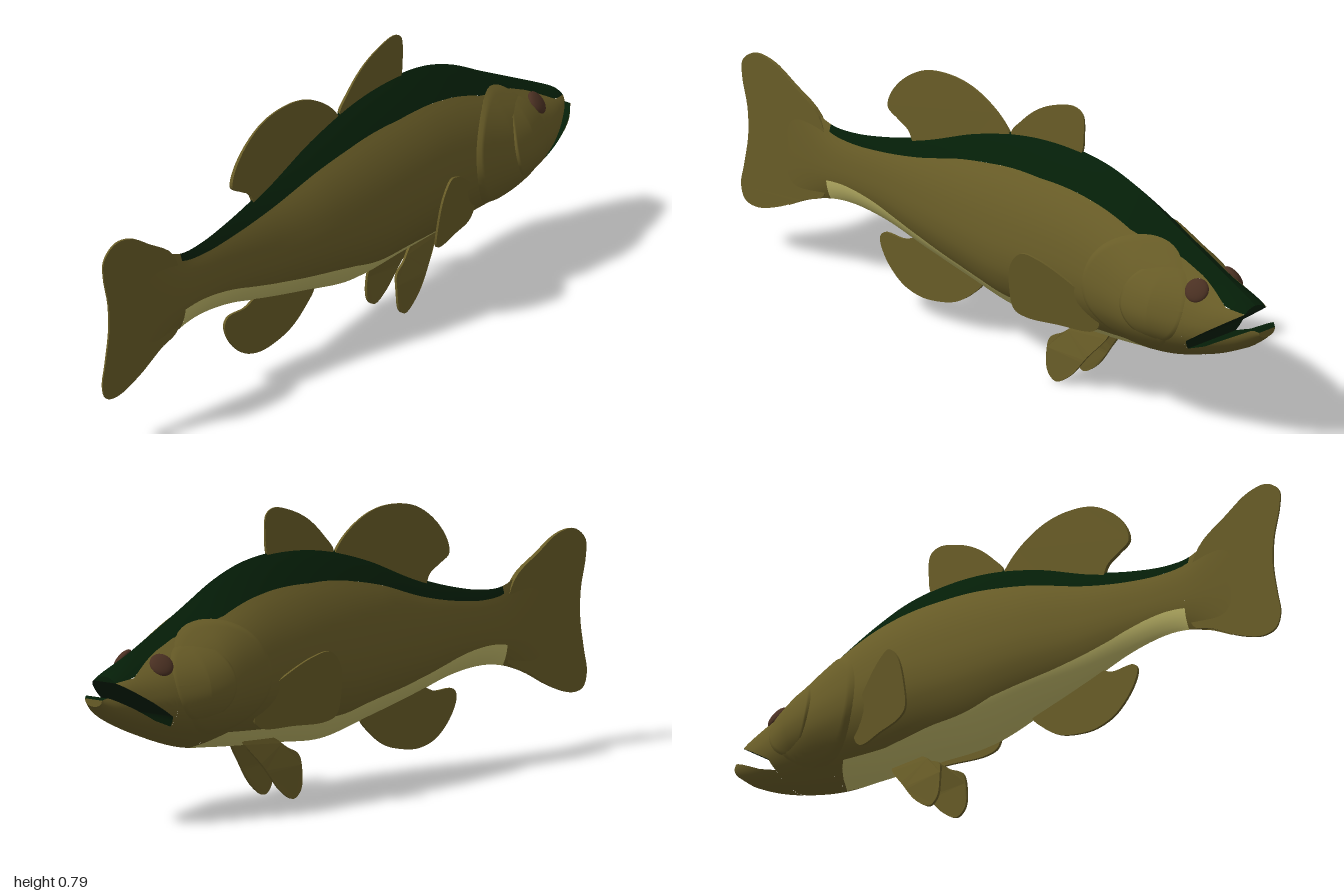
import * as THREE from 'three';

const mat = (name, color) => Object.assign(new THREE.MeshStandardMaterial({ color }), { name });
const olive = mat('olive skin', 0x685c27);
const green = mat('dark green back', 0x051e08);
const pale = mat('pale belly', 0xbeb668);
const brown = mat('brown eye', 0x4a3022);

// Smooth curve through rows of [position, value, value, ...]
function curve(rows) {
  const size = rows[0].length - 1;
  const c = new THREE.CubicInterpolant(rows.map(r => r[0]), rows.flatMap(r => r.slice(1)), size);
  return t => Array.from(c.evaluate(t));
}
// Straight segments through [x, y] pairs
function polyline(p) {
  return x => {
    let i = 0;
    while (i < p.length - 2 && x > p[i + 1][0]) i++;
    const k = THREE.MathUtils.clamp((x - p[i][0]) / (p[i + 1][0] - p[i][0]), 0, 1);
    return THREE.MathUtils.lerp(p[i][1], p[i + 1][1], k);
  };
}

// Body stations: x, top, bottom, half width
const body = curve([
  [-0.82, 0.535, 0.18, 0.006], [-0.74, 0.495, 0.22, 0.013], [-0.66, 0.463, 0.247, 0.02],
  [-0.58, 0.463, 0.258, 0.026], [-0.45, 0.488, 0.248, 0.038], [-0.3, 0.532, 0.213, 0.062],
  [-0.1, 0.608, 0.172, 0.105], [0.08, 0.655, 0.14, 0.132], [0.25, 0.67, 0.15, 0.144],
  [0.4, 0.658, 0.16, 0.147], [0.52, 0.622, 0.17, 0.149], [0.65, 0.56, 0.185, 0.148],
  [0.8, 0.49, 0.23, 0.117], [0.9, 0.443, 0.272, 0.086], [0.955, 0.415, 0.302, 0.062], [1, 0.385, 0.338, 0.03],
]);
// Cross-section: share of the half width from belly (0) to back (1)
const section = curve([[0, 0], [0.05, 0.28], [0.15, 0.67], [0.28, 0.93], [0.4, 1], [0.55, 0.94],
  [0.67, 0.82], [0.77, 0.65], [0.86, 0.43], [0.95, 0.17], [1, 0]]);

// Half width of the fish at a point of its side outline; chin and snout are blunter
function surf(x, y) {
  const [top, bottom, w] = body(x);
  const t = THREE.MathUtils.clamp((y - bottom) / (top - bottom), 0, 1);
  const start = t < 0.4 ? 0.6 : 0.82;
  const blunt = 1 - 0.5 * THREE.MathUtils.smoothstep(x, start, 0.97);
  return w * Math.pow(Math.max(section(t)[0], 0), blunt);
}

const topY = x => body(x)[0];
const bottomY = x => body(x)[1];
const backDepth = polyline([[-0.66, 0.02], [-0.3, 0.05], [0, 0.075], [0.2, 0.085], [0.4, 0.08],
  [0.55, 0.07], [0.66, 0.045], [0.72, 0.03], [0.8, 0.026], [0.9, 0.033], [0.955, 0.015]]);
const bellyDepth = polyline([[-0.66, 0.058], [-0.4, 0.05], [-0.2, 0.062], [0, 0.08], [0.2, 0.07],
  [0.4, 0.052], [0.55, 0.05], [0.61, 0]]);
const backY = x => topY(x) - backDepth(x);
const bellyY = x => bottomY(x) + bellyDepth(x);
const upperLip = polyline([[0.79, 0.268], [0.8, 0.298], [0.87, 0.345], [0.955, 0.4]]);
const lowerLip = polyline([[0.79, 0.268], [0.85, 0.291], [0.93, 0.335], [0.985, 0.364], [1, 0.358]]);

// Moves every vertex of a geometry by a rule
function shape(geo, rule) {
  const p = geo.attributes.position;
  for (let i = 0; i < p.count; i++) p.setXYZ(i, ...rule(p.getX(i), p.getY(i), p.getZ(i)));
  geo.computeVertexNormals();
  return geo;
}

export function createModel() {
  const model = new THREE.Group();
  const add = (name, geo, material) => {
    const m = new THREE.Mesh(geo, material);
    m.name = name;
    model.add(m);
    return m;
  };
  const addPair = (name, geo, material) => {
    add('left' + name, geo, material);
    add('right' + name, geo, material).scale.z = -1;
  };

  // Strip of skin between two height lines, with normals taken from the body surface
  function skin(name, material, x0, x1, low, high, nx, ny) {
    const geo = shape(new THREE.PlaneGeometry(1, 1, nx, ny), (u, v) => {
      const x = THREE.MathUtils.lerp(x0, x1, u + 0.5);
      const y = THREE.MathUtils.lerp(low(x), high(x), v + 0.5);
      return [x, y, surf(x, y)];
    });
    const p = geo.attributes.position, n = new THREE.Vector3(), e = 0.004;
    for (let i = 0; i < p.count; i++) {
      const x = p.getX(i), y = p.getY(i);
      const ya = Math.max(y - e, bottomY(x)), yb = Math.min(y + e, topY(x));
      const dy = (surf(x, yb) - surf(x, ya)) / Math.max(yb - ya, 1e-4);
      const dx = (surf(x + e, y) - surf(x - e, y)) / (2 * e);
      n.set(-dx, -dy, 1).normalize();
      geo.attributes.normal.setXYZ(i, n.x, n.y, n.z);
    }
    addPair(name, geo, material);
  }

  // Body skin, snout and lower jaw
  skin('TailRoot', olive, -0.82, -0.66, bottomY, topY, 10, 24);
  skin('Belly', pale, -0.66, 0.61, bottomY, bellyY, 60, 10);
  skin('Flank', olive, -0.66, 0.61, bellyY, backY, 60, 20);
  skin('Cheek', olive, 0.61, 0.79, bottomY, backY, 14, 30);
  skin('Back', green, -0.66, 0.955, backY, topY, 80, 10);
  skin('Snout', olive, 0.79, 0.955, upperLip, backY, 34, 12);
  skin('LowerJaw', olive, 0.79, 1, bottomY, lowerLip, 34, 16);

  // Surfaces that span from the left skin to the right skin
  function span(name, material, at, flip) {
    add(name, shape(new THREE.PlaneGeometry(1, 1, 34, 2), (u, v) => {
      const [x, y] = at(u + 0.5);
      return [x, y, 2 * v * flip * surf(x, y)];
    }), material);
  }
  const mouthX = (end, k) => THREE.MathUtils.lerp(0.79, end, k);
  span('mouthRoof', green, k => [mouthX(0.955, k), upperLip(mouthX(0.955, k))], 1);
  span('mouthFloor', green, k => [mouthX(1, k), lowerLip(mouthX(1, k))], -1);
  span('snoutTip', green, k => [0.955, THREE.MathUtils.lerp(0.4, topY(0.955), k)], 1);
  span('jawTip', olive, k => [1, THREE.MathUtils.lerp(bottomY(1), 0.358, k)], -1 + 2);

  // Gill covers: raised plates with a stepped rear edge that fades to the front and the ends
  function plate(name, cx, cy, rx, ry, lift, taper) {
    addPair(name, shape(new THREE.RingGeometry(0, 1, 56, 14), (u, v) => {
      const x = cx + u * rx, y = cy + v * ry;
      const fade = THREE.MathUtils.clamp(1 - u, 0, 1) * (1 - taper * v * v);
      return [x, y, surf(x, y) + (Math.hypot(u, v) > 0.98 ? -0.004 : lift * fade)];
    }), olive);
  }
  plate('GillCover', 0.61, 0.38, 0.17, 0.16, 0.01, 0.5);
  plate('CheekPlate', 0.695, 0.38, 0.1, 0.11, 0.016, 1);

  // Eyes
  const eye = new THREE.SphereGeometry(0.034, 24, 16);
  eye.scale(1, 1, 0.4).rotateX(-0.65).rotateY(0.4);
  eye.translate(0.803, 0.435, surf(0.803, 0.435));
  addPair('Eye', eye, brown);

  // Thin fin from a smooth outline, with rules for its half thickness and sideways bend
  function fin(points, half, bend = () => 0) {
    const line = new THREE.CatmullRomCurve3(points.map(p => new THREE.Vector3(p[0], p[1], 0)), true);
    const outline = new THREE.Shape(line.getPoints(72).slice(0, -1).map(p => new THREE.Vector2(p.x, p.y)));
    const geo = new THREE.ExtrudeGeometry(outline, { depth: 2, bevelEnabled: false });
    return shape(geo, (x, y, z) => [x, y, (z - 1) * half(x, y) + bend(x, y)]);
  }
  const tailTaper = polyline([[-1, 0.002], [-0.82, 0.006], [-0.66, 0.008]]);
  const dorsalTaper = polyline([[0.6, 0.005], [0.79, 0.0015]]);
  const flat = () => 0.0035;

  add('tailFin', fin([[-0.7, 0.475], [-0.8, 0.538], [-0.88, 0.58], [-0.95, 0.585], [-0.995, 0.55],
    [-0.995, 0.5], [-0.975, 0.42], [-0.972, 0.34], [-0.988, 0.25], [-1, 0.19], [-0.985, 0.15],
    [-0.94, 0.14], [-0.85, 0.168], [-0.75, 0.22], [-0.68, 0.25], [-0.66, 0.36]], tailTaper), olive);
  add('frontDorsalFin', fin([[0.03, 0.642], [0.07, 0.692], [0.13, 0.742], [0.2, 0.775], [0.27, 0.79],
    [0.3, 0.775], [0.305, 0.72], [0.295, 0.66], [0.25, 0.62], [0.1, 0.61]], (x, y) => dorsalTaper(y)), olive);
  add('rearDorsalFin', fin([[0.025, 0.63], [0, 0.665], [-0.05, 0.702], [-0.12, 0.732], [-0.2, 0.742],
    [-0.3, 0.727], [-0.38, 0.68], [-0.43, 0.62], [-0.438, 0.58], [-0.4, 0.557], [-0.36, 0.535],
    [-0.33, 0.49], [-0.15, 0.55], [0, 0.6]], (x, y) => dorsalTaper(y)), olive);
  add('analFin', fin([[-0.08, 0.175], [-0.12, 0.13], [-0.18, 0.09], [-0.25, 0.07], [-0.32, 0.065],
    [-0.39, 0.085], [-0.45, 0.14], [-0.47, 0.19], [-0.455, 0.21], [-0.38, 0.213], [-0.34, 0.228],
    [-0.28, 0.25], [-0.14, 0.21]], flat), olive);

  // Paired fins
  addPair('PectoralFin', fin([[0.475, 0.25], [0.455, 0.315], [0.38, 0.375], [0.31, 0.412], [0.265, 0.42],
    [0.228, 0.38], [0.215, 0.3], [0.222, 0.24], [0.255, 0.224], [0.35, 0.222], [0.45, 0.224]], flat,
  (x, y) => 0.12 + (0.47 - x) * 0.28 + (y - 0.3) * 0.16), olive);
  addPair('PelvicFin', fin([[0.42, 0.18], [0.36, 0.1], [0.3, 0.03], [0.25, 0.002], [0.222, 0.022],
    [0.215, 0.08], [0.222, 0.12], [0.26, 0.142], [0.31, 0.175]], flat,
  (x, y) => 0.05 - 1.3 * Math.max(y - 0.04, 0) ** 2 + (0.3 - x) * 0.04), olive);

  return model;
}
